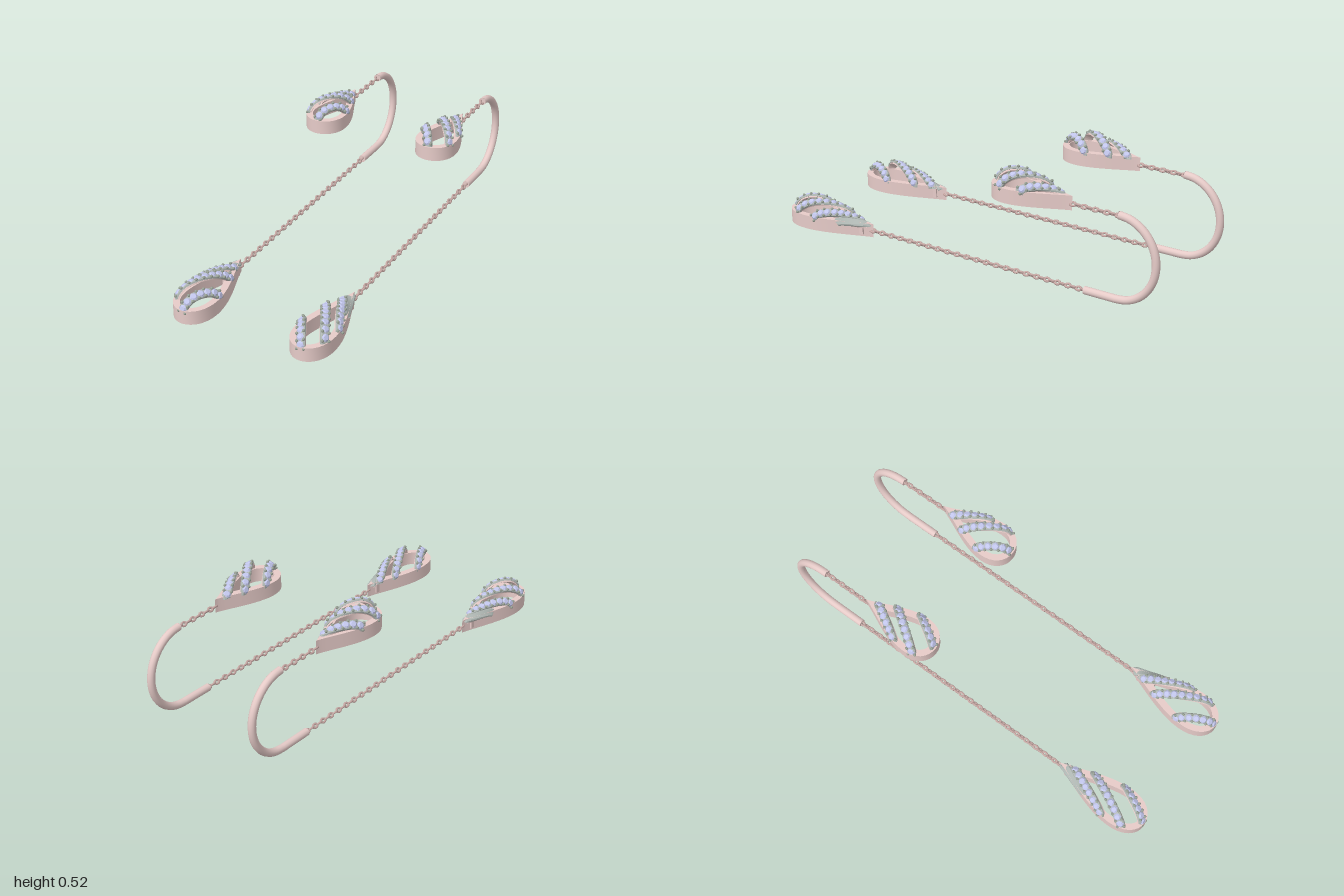
import * as THREE from 'three';
import { mergeGeometries, toCreasedNormals } from 'three/addons/utils/BufferGeometryUtils.js';

const gold = new THREE.MeshStandardMaterial({ color: 0xe6cbc8, side: THREE.DoubleSide });
const chainMat = new THREE.MeshStandardMaterial({ color: 0xc9aaa6 });
const bandMat = new THREE.MeshStandardMaterial({ color: 0xaeb6b2, side: THREE.DoubleSide });
const stoneMat = new THREE.MeshStandardMaterial({ color: 0xc2c6ec, flatShading: true });
const prongMat = new THREE.MeshStandardMaterial({ color: 0x9aa397 });

const HALF = 0.095; // half width of a drop
const lerp = THREE.MathUtils.lerp;

// Teardrop half width, 0..1, along its length s (0 = tip, 1 = round end)
const tear = (s) => (2 * Math.pow(s, 1.25) * Math.sqrt(Math.max(0, 1 - s))) / 0.703;

function add(group, name, geometry, material) {
  const mesh = new THREE.Mesh(geometry, material);
  mesh.name = name;
  group.add(mesh);
  return mesh;
}

// Closed teardrop outline between two z positions
function tearPoints(z0, z1, half) {
  const pts = [];
  const n = 44;
  for (let i = 0; i < n; i++) {
    const a = (i / n) * Math.PI * 2;
    const s = (1 - Math.cos(a)) / 2;
    pts.push(new THREE.Vector2(Math.sign(Math.sin(a)) * half * tear(s), -lerp(z0, z1, s)));
  }
  return pts;
}

function frameGeometry(length, height) {
  const shape = new THREE.Shape(tearPoints(0, length, HALF));
  shape.holes.push(new THREE.Path(tearPoints(length * 0.19, length - 0.03, HALF - 0.03)));
  const g = new THREE.ExtrudeGeometry(shape, { depth: height, bevelEnabled: false });
  g.rotateX(-Math.PI / 2);
  return toCreasedNormals(g, 0.6);
}

// Local frames along a band that runs diagonally over the domed drop,
// from the inner rim at s0 to the outer rim at s1
function bandFrames(length, s0, s1, side, steps) {
  const rim = HALF * 0.9;
  const point = (t) => {
    const q = (1 - Math.cos(Math.PI * t)) / 2;
    const s = lerp(s0, s1, q);
    const x = lerp(-tear(s0), tear(s1), q);
    const w = tear(s);
    const u = Math.min(1, Math.abs(x) / (w + 1e-4));
    return new THREE.Vector3(
      side * x * rim,
      0.052 + 0.072 * Math.sqrt(1 - u * u) * Math.min(1, w),
      lerp(0.012, length - 0.014, s));
  };
  const frames = [];
  for (let i = 0; i <= steps; i++) {
    const t = i / steps;
    const p = point(t);
    const T = point(Math.min(1, t + 0.02)).sub(point(Math.max(0, t - 0.02))).normalize();
    const N = p.clone().sub(new THREE.Vector3(0, 0.035, Math.min(p.z, length * 0.76)));
    N.addScaledVector(T, -N.dot(T)).normalize();
    frames.push({ p, T, N, B: new THREE.Vector3().crossVectors(T, N) });
  }
  return frames;
}

// Chamfered strip swept along the frames, from low to high across its thickness
function bandGeometry(frames, width, low, high) {
  const h = width / 2;
  const edge = lerp(low, high, 0.6);
  const section = [[-h, low], [h, low], [h, edge], [h * 0.75, high], [-h * 0.75, high], [-h, edge]];
  const n = section.length;
  const pos = [], index = [];
  for (const f of frames) for (const [b, u] of section) {
    const v = f.p.clone().addScaledVector(f.B, b).addScaledVector(f.N, u);
    pos.push(v.x, v.y, v.z);
  }
  for (let i = 0; i < frames.length - 1; i++) for (let j = 0; j < n; j++) {
    const a = i * n + j, b = i * n + (j + 1) % n;
    index.push(a, a + n, b, b, a + n, b + n);
  }
  const last = (frames.length - 1) * n;
  for (let j = 1; j < n - 1; j++) {
    index.push(0, j, j + 1, last, last + j + 1, last + j);
  }
  const g = new THREE.BufferGeometry();
  g.setAttribute('position', new THREE.Float32BufferAttribute(pos, 3));
  g.setIndex(index);
  return toCreasedNormals(g, 0.6);
}

// Teardrop frame with stone-set diagonal bands, tip at z = 0
function makeDrop(name, length, bands, side) {
  const drop = new THREE.Group();
  drop.name = name;
  add(drop, 'teardropFrame', frameGeometry(length, 0.066), gold);

  const stone = new THREE.CylinderGeometry(0.011, 0.018, 0.007, 8);
  const prong = new THREE.IcosahedronGeometry(0.0068, 1);
  const bases = [], strips = [], stones = [], prongs = [];
  const width = 0.04;
  for (const [s0, s1] of bands) {
    const frames = bandFrames(length, s0, s1, side, 60);
    bases.push(bandGeometry(frames, width * 0.9, -0.011, -0.002));
    strips.push(bandGeometry(frames, width, -0.004, 0.008));
    let run = 0.014;
    for (let i = 1; i < frames.length - 1; i++) {
      const { p, T, N, B } = frames[i];
      run += p.distanceTo(frames[i - 1].p);
      if (run < 0.031 || p.y < 0.066) continue;
      run = 0;
      const m = new THREE.Matrix4().makeBasis(B, N, T.clone().negate());
      m.setPosition(p.clone().addScaledVector(N, 0.01));
      stones.push(stone.clone().applyMatrix4(m));
      for (const e of [-1, 1]) {
        const q = p.clone().addScaledVector(B, e * width * 0.41)
          .addScaledVector(N, 0.008).addScaledVector(T, 0.015);
        prongs.push(prong.clone().translate(q.x, q.y, q.z));
      }
    }
  }
  add(drop, 'bandUndersides', mergeGeometries(bases), gold);
  add(drop, 'diagonalBands', mergeGeometries(strips), bandMat);
  add(drop, 'stones', mergeGeometries(stones), stoneMat);
  add(drop, 'prongs', mergeGeometries(prongs), prongMat);
  return drop;
}

// Alternating, tightly spaced oval links along z
function chainGeometry(z0, z1, y) {
  const count = Math.round(Math.abs(z1 - z0) / 0.027);
  const links = [];
  for (let i = 0; i < count; i++) {
    const link = new THREE.TorusGeometry(0.0085, 0.0052, 6, 12);
    link.scale(1.45, 1, 1);
    link.rotateY(Math.PI / 2);
    link.rotateZ(Math.PI / 4 + (i % 2) * Math.PI / 2);
    link.translate(0, y, lerp(z0, z1, (i + 0.5) / count));
    links.push(link);
  }
  return mergeGeometries(links);
}

// Curved ear wire with straight lower leg
function addHook(group) {
  const path = new THREE.CurvePath();
  path.add(new THREE.LineCurve3(new THREE.Vector3(0, 0.033, -0.64), new THREE.Vector3(0, 0.033, -0.8)));
  const arc = [];
  for (let i = 0; i <= 12; i++) {
    const a = (i / 12) * Math.PI;
    arc.push(new THREE.Vector3(0, 0.225 - 0.192 * Math.cos(a), -0.8 - 0.182 * Math.sin(a)));
  }
  path.add(new THREE.CatmullRomCurve3(arc));
  add(group, 'earWire', new THREE.TubeGeometry(path, 48, 0.018, 12), gold);
  for (const [y, z] of [[0.033, -0.64], [0.417, -0.8]]) {
    add(group, 'earWireEnd', new THREE.CircleGeometry(0.018, 12), gold).position.set(0, y, z);
  }
}

function makeEarring(name, side) {
  const g = new THREE.Group();
  g.name = name;
  g.position.x = side * 0.288;

  const large = makeDrop('largeDrop', 0.48, [[0.03, 0.36], [0.13, 0.62], [0.33, 0.86], [0.65, 1]], side);
  large.position.set(0, 0, 0.52);
  const small = makeDrop('smallDrop', 0.395, [[0.12, 0.56], [0.34, 0.84], [0.63, 1]], side);
  small.position.set(0, 0.385, -0.57);
  g.add(large, small);

  // hinge block in the tip of the large drop
  add(g, 'hinge', new THREE.BoxGeometry(0.044, 0.046, 0.09), gold).position.set(0, 0.033, 0.612);

  add(g, 'longChain', chainGeometry(0.535, -0.65, 0.033), chainMat);
  add(g, 'shortChain', chainGeometry(-0.56, -0.81, 0.415), chainMat);
  addHook(g);
  return g;
}

export function createModel() {
  const model = new THREE.Group();
  model.name = 'earrings';
  model.add(makeEarring('leftEarring', 1), makeEarring('rightEarring', -1));
  return model;
}
